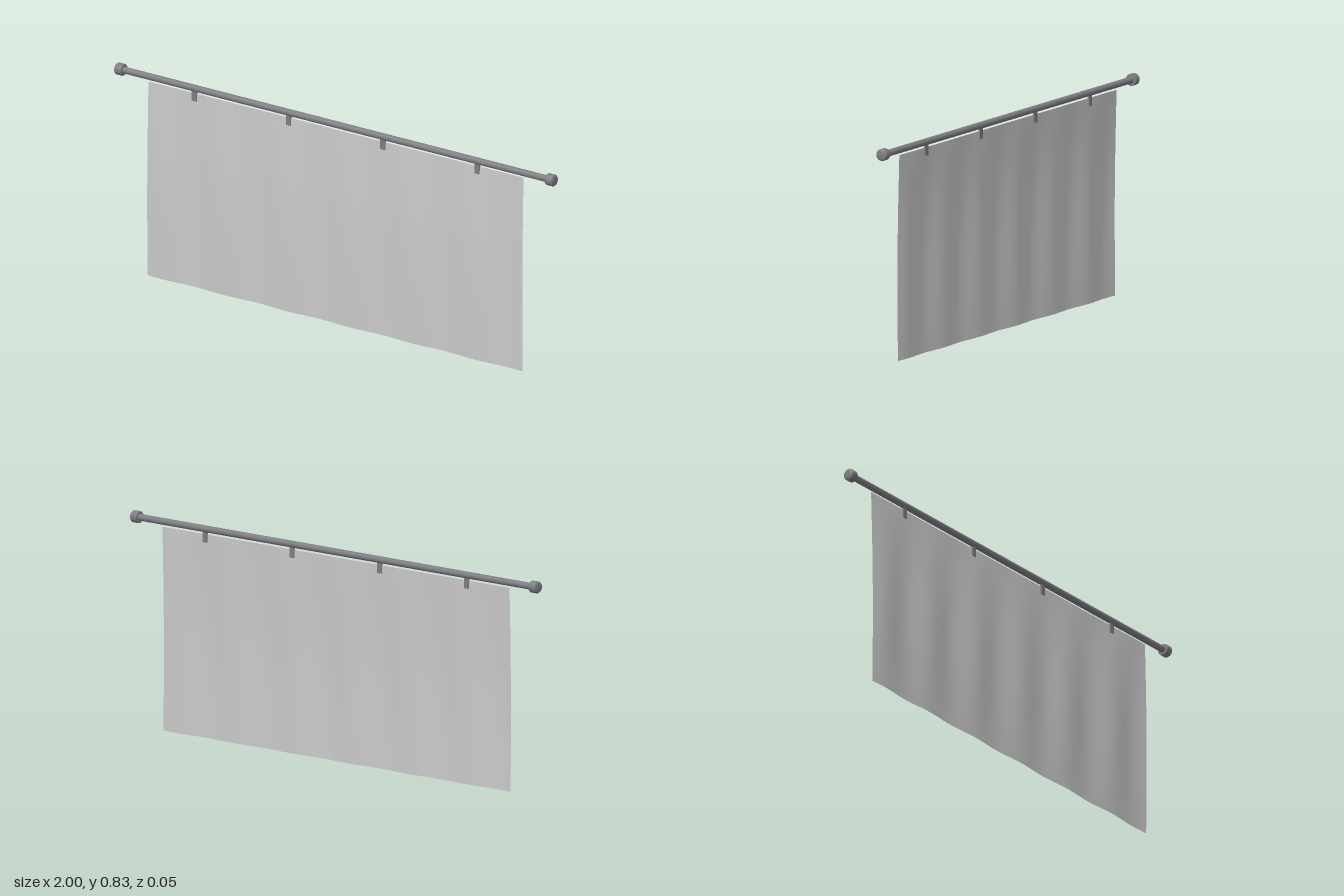
import * as THREE from 'three';

const ROD_Y = 0.809;
const WIDTH = 1.71, HEIGHT = 0.788;

export function createModel() {
  const group = new THREE.Group();
  const metal = new THREE.MeshStandardMaterial({ color: 0x7e7e82 });
  metal.name = 'greyMetal';
  const fabric = new THREE.MeshStandardMaterial({ color: 0xcacaca, side: THREE.DoubleSide });
  fabric.name = 'paleFabric';

  const add = (name, geometry, material, x, y, z = 0) => {
    const mesh = new THREE.Mesh(geometry, material);
    mesh.name = name;
    mesh.position.set(x, y, z);
    group.add(mesh);
    return mesh;
  };

  // Horizontal rod
  add('rod', new THREE.CylinderGeometry(0.013, 0.013, 1.95, 24).rotateZ(Math.PI / 2), metal, 0, ROD_Y);

  // End caps with softly rounded outer edges
  const profile = [[0, 0], [0.021, 0], [0.023, 0.003], [0.023, 0.029], [0.02, 0.033], [0.012, 0.0345], [0, 0.035]]
    .map(([r, h]) => new THREE.Vector2(r, h));
  for (const side of [-1, 1]) {
    const cap = add(side > 0 ? 'leftEndCap' : 'rightEndCap', new THREE.LatheGeometry(profile, 28), metal, side * 0.965, ROD_Y);
    cap.rotation.z = -side * Math.PI / 2;
  }

  // Hanging clips, gripping both faces of the cloth
  for (const x of [-0.645, -0.215, 0.215, 0.645]) {
    add('clip', new THREE.BoxGeometry(0.022, 0.044, 0.007), metal, x, 0.779);
  }

  // Cloth: flat at the top, gently billowing forward with six vertical ripples
  const cloth = new THREE.PlaneGeometry(WIDTH, HEIGHT, 96, 24);
  const pos = cloth.attributes.position;
  for (let i = 0; i < pos.count; i++) {
    const u = pos.getX(i) / WIDTH + 0.5;
    const v = 0.5 - pos.getY(i) / HEIGHT;
    const belly = Math.sin(Math.PI * v);
    const ripple = Math.sin(u * Math.PI * 12);
    pos.setZ(i, 0.006 * v + 0.005 * belly + (0.0035 * v + 0.005 * belly) * ripple);
  }
  cloth.computeVertexNormals();
  add('cloth', cloth, fabric, 0, HEIGHT / 2);

  return group;
}
